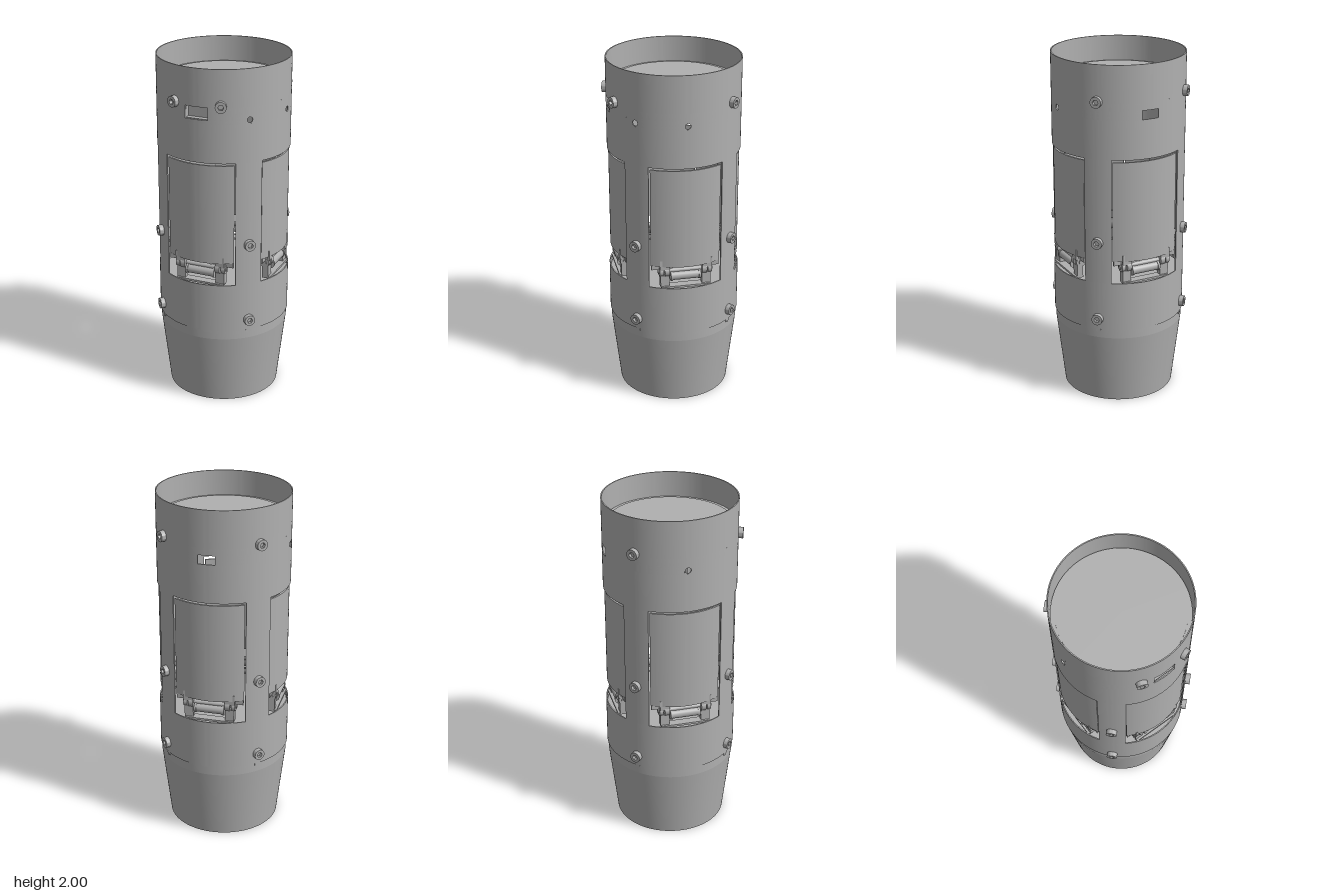
import * as THREE from 'three';
import { toCreasedNormals } from 'three/addons/utils/BufferGeometryUtils.js';

const PI = Math.PI;
const R = 0.375, RI = 0.3685; // outer and inner radius of the main tube

export function createModel() {
  const model = new THREE.Group();
  const grey = new THREE.MeshStandardMaterial({ color: 0xb0b0b0 });
  grey.name = 'grey metal';

  function add(parent, name, geometry, x = 0, y = 0, z = 0) {
    const mesh = new THREE.Mesh(geometry, grey);
    mesh.name = name;
    mesh.position.set(x, y, z);
    parent.add(mesh);
    return mesh;
  }

  // Group whose local +z points outward at azimuth t (0 = front, PI/2 = +x)
  function facing(name, t) {
    const group = new THREE.Group();
    group.name = name;
    group.rotation.y = t;
    model.add(group);
    return group;
  }

  // Solid curved wall between two radii, heights and azimuths
  function sector(r0, r1, y0, y1, t0, t1) {
    const shape = new THREE.Shape();
    const span = t1 - t0;
    const full = span > 2 * PI - 1e-4;
    const a0 = t0 - PI / 2, a1 = t1 - PI / 2;
    shape.absarc(0, 0, r1, a0, a1, false);
    if (full) {
      shape.holes.push(new THREE.Path().absarc(0, 0, r0, 0, 2 * PI, true));
    } else {
      shape.absarc(0, 0, r0, a1, a0, true);
      shape.closePath();
    }
    const geo = new THREE.ExtrudeGeometry(shape, {
      depth: y1 - y0, bevelEnabled: false,
      curveSegments: Math.max(2, Math.ceil(span / (2 * PI) * 120)),
    });
    geo.rotateX(-PI / 2).translate(0, y0, 0);
    return toCreasedNormals(geo, 0.5);
  }

  // One row of the tube, split around openings given as [azimuth, half angle]
  function wall(name, y0, y1, openings = []) {
    if (!openings.length) return add(model, name, sector(RI, R, y0, y1, 0, 2 * PI));
    const list = [...openings].sort((a, b) => a[0] - b[0]);
    list.forEach(([t, h], i) => {
      const next = i + 1 < list.length ? list[i + 1] : [list[0][0] + 2 * PI, list[0][1]];
      add(model, name, sector(RI, R, y0, y1, t + h, next[0] - next[1]));
    });
  }

  // Main tube with door windows, slots and small vent holes
  const windows = [0, 1, 2, 3].map(i => [i * PI / 2, 0.578]);
  const frontSlot = [0, 0.174], backSlot = [PI, 0.13];
  const ventAngles = [PI / 4, PI / 2, 3 * PI / 2];
  const vents = ventAngles.map(t => [t, 0.02 / R]);
  wall('lowerTube', 0.475, 0.76);
  wall('tubePillar', 0.76, 1.48, windows);
  wall('upperTube', 1.48, 1.70);
  wall('slotWall', 1.70, 1.72, [backSlot, ...vents]);
  wall('slotWall', 1.72, 1.74, [frontSlot, backSlot, ...vents]);
  wall('slotWall', 1.74, 1.75, [frontSlot, backSlot]);
  wall('slotWall', 1.75, 1.79, [frontSlot]);
  wall('topTube', 1.79, 2);

  // Wall patches with a round vent hole
  for (const t of ventAngles) {
    const s = 0.02;
    const patch = new THREE.Shape([[-s, -s], [s, -s], [s, s], [-s, s]].map(p => new THREE.Vector2(...p)));
    patch.holes.push(new THREE.Path().absarc(0, 0, 0.016, 0, 2 * PI, true));
    const geo = new THREE.ExtrudeGeometry(patch, { depth: R - RI, bevelEnabled: false, curveSegments: 16 });
    add(facing('ventHole', t), 'ventPatch', geo, 0, 1.72, RI - 0.0004);
  }

  // Recessed block behind the front slot
  const slot = facing('slotBlock', 0);
  add(slot, 'slotBack', new THREE.BoxGeometry(0.16, 0.1, 0.02), 0, 1.755, 0.32);
  for (const s of [-1, 1]) {
    add(slot, 'slotSide', new THREE.BoxGeometry(0.012, 0.085, 0.034), s * 0.07, 1.755, 0.345);
    add(slot, 'slotEdge', new THREE.BoxGeometry(0.15, 0.01, 0.034), 0, 1.755 + s * 0.038, 0.345);
  }

  // Hollow tapered tail with a shoulder inside the tube
  const profile = [
    [0.308, 0], [0.32, 0], [0.369, 0.42], [0.369, 0.475], [0.366, 0.476], [0.366, 0.73],
    [0.354, 0.73], [0.354, 0.42], [0.308, 0],
  ].map(p => new THREE.Vector2(...p));
  add(model, 'taperedTail', toCreasedNormals(new THREE.LatheGeometry(profile, 120), 0.1));

  // Bulkheads
  const disc = (r, h) => new THREE.CylinderGeometry(r, r, h, 120);
  add(model, 'lowerBulkhead', disc(0.354, 0.02), 0, 0.72, 0);
  add(model, 'upperBulkhead', disc(0.364, 0.06), 0, 1.825, 0);
  add(model, 'bulkheadCap', disc(0.342, 0.005), 0, 1.857, 0);

  // Socket-head bolts
  function bolt(t, y) {
    const group = facing('bolt', t);
    const head = new THREE.Shape().absarc(0, 0, 0.031, 0, 2 * PI, false);
    const socket = new THREE.Path();
    for (let i = 0; i < 6; i++) {
      const a = -i * PI / 3, x = 0.016 * Math.cos(a), v = 0.016 * Math.sin(a);
      i ? socket.lineTo(x, v) : socket.moveTo(x, v);
    }
    socket.closePath();
    head.holes.push(socket);
    const geo = new THREE.ExtrudeGeometry(head, { depth: 0.026, bevelEnabled: false, curveSegments: 14 });
    add(group, 'boltHead', toCreasedNormals(geo, 0.6), 0, y, 0.375);
    const shank = new THREE.CylinderGeometry(0.018, 0.018, 0.03, 20).rotateX(PI / 2);
    add(group, 'boltShank', shank, 0, y, 0.368);
  }
  for (let i = 0; i < 4; i++) {
    const t = PI / 4 + i * PI / 2;
    bolt(t, 1.0);
    bolt(t, 0.54);
    // Small studs just under the tube's lower rim
    const stud = new THREE.CylinderGeometry(0.015, 0.015, 0.02, 20).rotateX(PI / 2);
    add(facing('tailStud', t), 'stud', stud, 0, 0.466, 0.363);
  }
  for (const t of [0.365, -0.365, 3 * PI / 4, -3 * PI / 4]) bolt(t, 1.8);

  // Four hinged doors
  for (let i = 0; i < 4; i++) {
    const door = facing('door', i * PI / 2);
    add(door, 'doorPanel', sector(0.357, 0.368, 0.89, 1.465, -0.562, 0.562));
    const box = (name, w, h, d, x, y, z) => add(door, name, new THREE.BoxGeometry(w, h, d), x, y, z);
    const rod = (name, r, l, x, y, z) =>
      add(door, name, new THREE.CylinderGeometry(r, r, l, 28).rotateZ(PI / 2), x, y, z);

    box('hingeBase', 0.28, 0.012, 0.05, 0, 0.758, 0.32);
    rod('hingeRod', 0.025, 0.16, 0, 0.82, 0.32);
    rod('hingePin', 0.013, 0.31, 0, 0.85, 0.312);
    for (const s of [-1, 1]) {
      box('hingePost', 0.05, 0.07, 0.035, s * 0.118, 0.795, 0.315);
      rod('hingeKnuckle', 0.032, 0.028, s * 0.106, 0.853, 0.315);
      rod('hingeFork', 0.028, 0.022, s * 0.138, 0.85, 0.312);
      rod('rodCollar', 0.029, 0.012, s * 0.08, 0.82, 0.32);
      box('hingeArm', 0.055, 0.06, 0.014, s * 0.12, 0.895, 0.335);
      box('doorTab', 0.045, 0.028, 0.012, s * 0.17, 0.878, 0.312);
    }
  }
  return model;
}
